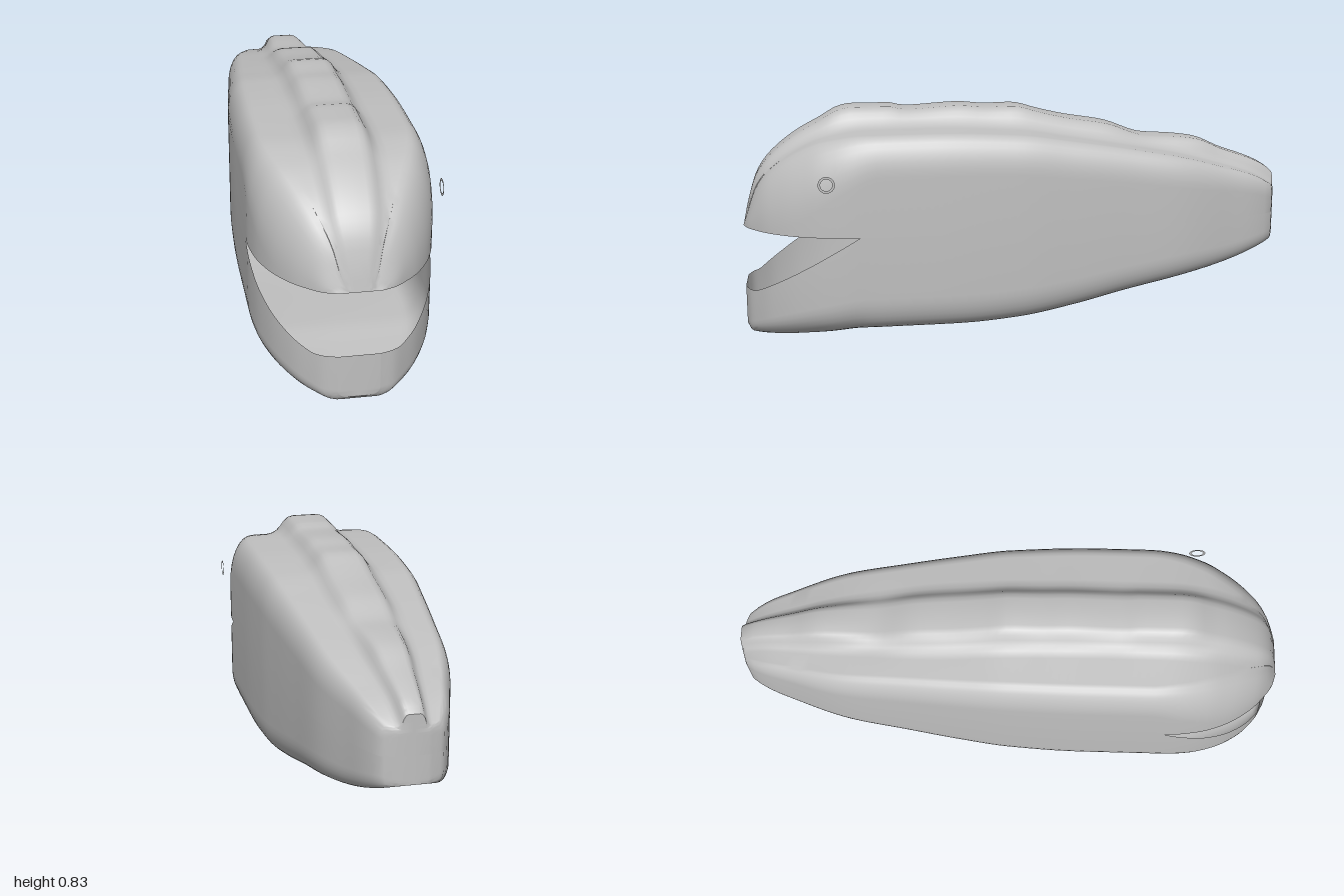
import * as THREE from 'three';
import { toCreasedNormals } from 'three/addons/utils/BufferGeometryUtils.js';

// Profile curves along the length, as [z, value] points
const WIDTH = [[-1, 0.05], [-0.992, 0.075], [-0.98, 0.105], [-0.8, 0.18], [-0.6, 0.237], [-0.4, 0.262], [-0.2, 0.285],
  [0, 0.304], [0.3, 0.314], [0.6, 0.314], [0.7, 0.303], [0.8, 0.272], [0.9, 0.212], [0.96, 0.15], [0.985, 0.115], [1, 0.07]];
const RIDGE = [[-1, 0.55], [-0.97, 0.577], [-0.9, 0.61], [-0.8, 0.645], [-0.7, 0.687], [-0.6, 0.7], [-0.5, 0.706],
  [-0.35, 0.755], [-0.2, 0.78], [-0.1, 0.803], [0, 0.828], [0.1, 0.826], [0.2, 0.834], [0.4, 0.824], [0.46, 0.835],
  [0.6, 0.835], [0.66, 0.82], [0.7, 0.795], [0.8, 0.74], [0.9, 0.66], [0.95, 0.59], [0.985, 0.48], [1, 0.41]];
const SHOULDER = [[-1, 0.5], [-0.98, 0.515], [-0.9, 0.56], [-0.8, 0.593], [-0.6, 0.65], [-0.4, 0.69], [-0.2, 0.725],
  [0, 0.755], [0.3, 0.768], [0.55, 0.765], [0.7, 0.74], [0.8, 0.695], [0.9, 0.62], [0.95, 0.55], [0.985, 0.455], [1, 0.41]];
const BELLY = [[-1, 0.31], [-0.95, 0.288], [-0.8, 0.238], [-0.6, 0.195], [-0.4, 0.155], [-0.2, 0.11], [0, 0.076],
  [0.2, 0.061], [0.57, 0.055], [0.7, 0.036], [0.9, 0.01], [0.98, 0.004], [1, 0.022]];
const RIDGE_WIDTH = [[-1, 0.4], [-0.9, 0.5], [-0.6, 0.8], [-0.2, 1], [0.6, 1], [0.9, 0.85], [0.96, 0.65], [1, 0.3]];
const ROUNDNESS = [[-1, 0], [0.5, 0], [0.62, 0.2], [0.85, 0.8], [1, 1]];

const MOUTH_Y = 0.41, MOUTH_Z = 0.575;

// Smooth interpolation through the points of a curve
function at(curve, z) {
  let i = 0;
  while (i < curve.length - 2 && z > curve[i + 1][0]) i++;
  const slope = (j) => (curve[j + 1][1] - curve[j][1]) / (curve[j + 1][0] - curve[j][0]);
  const tangent = (j) => {
    if (j === 0) return slope(0);
    if (j === curve.length - 1) return slope(j - 1);
    const a = slope(j - 1), b = slope(j);
    return a * b <= 0 ? 0 : (2 * a * b) / (a + b);
  };
  const [z0, v0] = curve[i], [z1, v1] = curve[i + 1];
  const h = z1 - z0, t = (z - z0) / h, t2 = t * t, t3 = t2 * t;
  return v0 * (2 * t3 - 3 * t2 + 1) + h * tangent(i) * (t3 - 2 * t2 + t)
    + v1 * (3 * t2 - 2 * t3) + h * tangent(i + 1) * (t3 - t2);
}

// Mirror a half section, listed from the left seam to the middle
const mirror = (half) => [...half, ...half.slice(0, -1).reverse().map(([x, y]) => [-x, y])];

// Back, shoulders and ridge, above the mouth line
function upperSection(z) {
  const w = at(WIDTH, z), s = at(SHOULDER, z), t = at(RIDGE, z), r = at(RIDGE_WIDTH, z), k = at(ROUNDNESS, z);
  const q = w * (0.22 + 0.28 * k);
  const c = Math.min(THREE.MathUtils.lerp(0.45 * w, s - MOUTH_Y, k), s - MOUTH_Y);
  const half = [[w, MOUTH_Y]];
  for (let i = 0; i <= 8; i++) {
    const a = (i / 8) * Math.PI / 2;
    half.push([w - q + q * Math.cos(a), s - c + c * Math.sin(a)]);
  }
  // the raised ridge: distance from the middle, share of its height
  for (const [x, f] of [[0.15, 0.02], [0.125, 0.1], [0.108, 0.27], [0.095, 0.5], [0.083, 0.75], [0.068, 0.93], [0.05, 1], [0, 1]]) {
    half.push([Math.min(x * r, w - q), s + (t - s) * f]);
  }
  return mirror(half);
}

// Flanks and belly, below the mouth line
function lowerSection(z) {
  const w = at(WIDTH, z), b = at(BELLY, z), k = at(ROUNDNESS, z);
  const seam = z <= MOUTH_Z ? MOUTH_Y : Math.max(0.178, MOUTH_Y - (z - MOUTH_Z) * 0.6);
  const q = w * (0.22 + 0.25 * k), c = Math.min(0.4 * w, seam - b);
  const half = [[w, seam]];
  for (let i = 0; i <= 8; i++) {
    const a = (i / 8) * Math.PI / 2;
    half.push([w - q + q * Math.cos(a), b + c - c * Math.sin(a)]);
  }
  half.push([0, b]);
  return mirror(half).reverse();
}

// Skin a row of sections; both ends close onto the middle plane
function loft(section, stations) {
  const rows = stations.map((z) => section(z).map(([x, y]) => [x, y, z]));
  const flat = (row) => row.map(([, y, z]) => [0, y, z]);
  rows.unshift(flat(rows[0]));
  rows.push(flat(rows[rows.length - 1]));
  const n = rows[0].length, index = [];
  for (let i = 0; i < rows.length - 1; i++) {
    for (let j = 0; j < n - 1; j++) {
      const a = i * n + j, b = a + 1, c = a + n, d = c + 1;
      index.push(a, b, c, b, d, c);
    }
  }
  const geometry = new THREE.BufferGeometry();
  geometry.setAttribute('position', new THREE.Float32BufferAttribute(rows.flat(2), 3));
  geometry.setIndex(index);
  return toCreasedNormals(geometry, 0.7);
}

export function createModel() {
  const model = new THREE.Group();
  model.name = 'hollowFish';
  const grey = new THREE.MeshStandardMaterial({ color: 0xc0c0c0, side: THREE.DoubleSide });
  grey.name = 'lightGrey';

  const add = (name, geometry, x, y, z) => {
    const mesh = new THREE.Mesh(geometry, grey);
    mesh.name = name;
    mesh.position.set(x, y, z);
    model.add(mesh);
    return mesh;
  };

  // stations: tail end, body to the mouth corner, then the head
  const stations = [-1, -0.996, -0.992, -0.986, -0.98];
  for (let i = 1; i <= 50; i++) stations.push(-0.98 + (MOUTH_Z + 0.98) * i / 50);
  for (let i = 1; i <= 24; i++) stations.push(MOUTH_Z + (1 - MOUTH_Z) * Math.sin((i / 24) * Math.PI / 2));

  // hollow shell, open at the mouth
  add('upperBody', loft(upperSection, stations), -0.01, 0, 0);
  add('lowerBody', loft(lowerSection, stations), -0.01, 0, 0);

  // flat eye ring standing off the left side
  add('eyeRing', new THREE.RingGeometry(0.021, 0.03, 32), 0.325, 0.61, 0.69).rotation.y = Math.PI / 2;
  return model;
}
